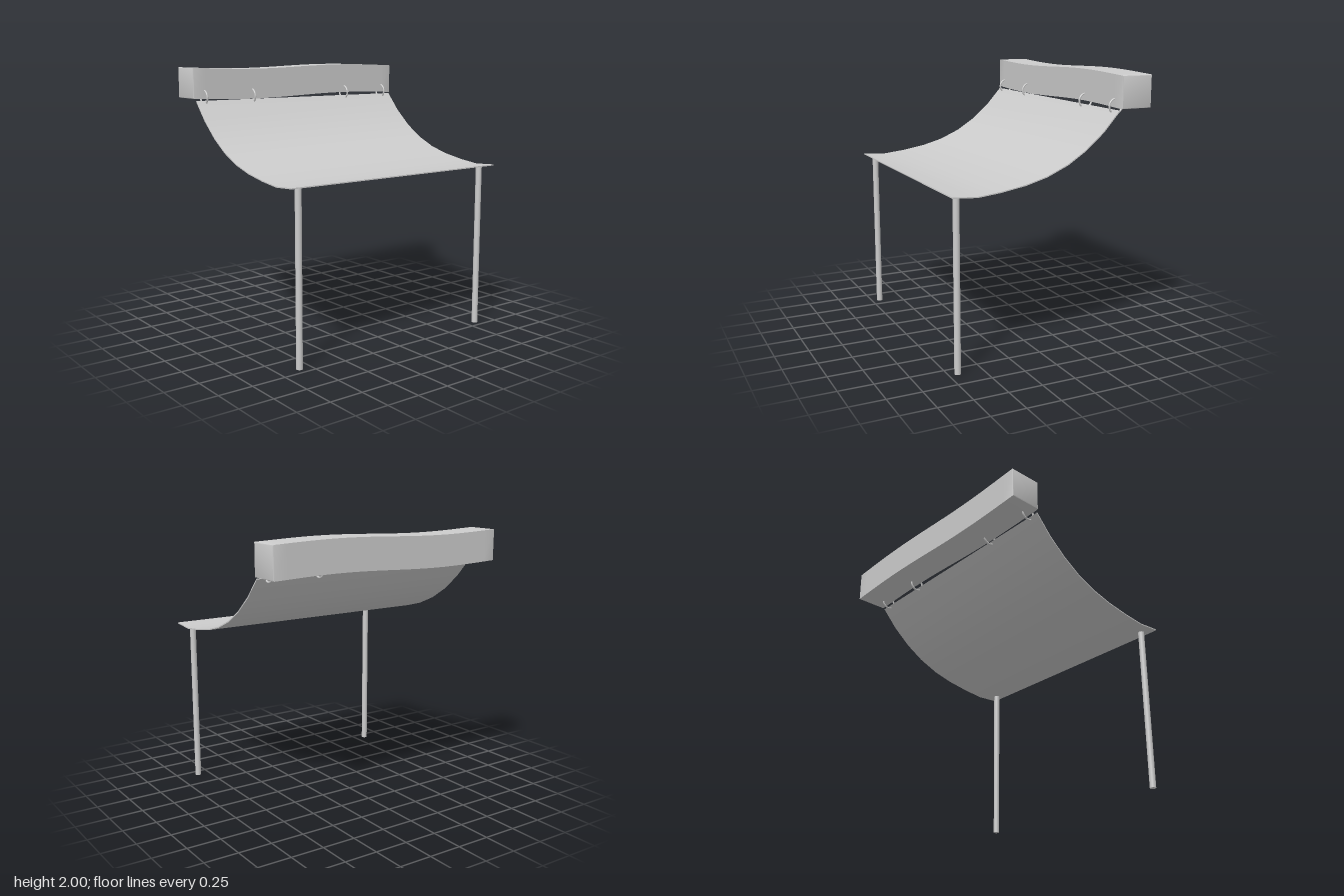
import * as THREE from 'three';
import { toCreasedNormals } from 'three/addons/utils/BufferGeometryUtils.js';

const material = new THREE.MeshStandardMaterial({ color: 0xcccccc, side: THREE.DoubleSide });

function addMesh(parent, name, geometry, x = 0, y = 0, z = 0) {
  const mesh = new THREE.Mesh(geometry, material);
  mesh.name = name;
  mesh.position.set(x, y, z);
  parent.add(mesh);
  return mesh;
}

// Square beam with a small bevel, bent gently up and down along its length
function beamGeometry() {
  const bevel = 0.007, half = 0.12 - bevel, halfHeight = 0.115 - bevel, length = 1.906;
  const shape = new THREE.Shape([
    new THREE.Vector2(-half, -halfHeight), new THREE.Vector2(half, -halfHeight),
    new THREE.Vector2(half, halfHeight), new THREE.Vector2(-half, halfHeight),
  ]);
  const geometry = new THREE.ExtrudeGeometry(shape, {
    depth: length - 2 * bevel, steps: 20,
    bevelSize: bevel, bevelThickness: bevel, bevelSegments: 2,
  });
  geometry.translate(0, 0, bevel - length / 2);
  const p = geometry.attributes.position;
  for (let i = 0; i < p.count; i++) {
    const z = p.getZ(i);
    p.setY(i, p.getY(i) - 0.012 * Math.sin((z * Math.PI) / 0.88));
  }
  return toCreasedNormals(geometry, 0.5);
}

// Thin sagging sheet: a curved strip with thickness, swept along z
function canopyGeometry() {
  const line = [
    [-0.505, 1.745], [-0.38, 1.606], [-0.24, 1.488], [-0.1, 1.4], [0.06, 1.331],
    [0.22, 1.288], [0.4, 1.258], [0.57, 1.24], [0.75, 1.252],
  ].map(([x, y]) => new THREE.Vector2(x, y));
  const offset = (sign) => line.map((point, i) => {
    const tangent = line[Math.min(i + 1, line.length - 1)].clone()
      .sub(line[Math.max(i - 1, 0)]).normalize();
    return new THREE.Vector2(point.x - tangent.y * 0.004 * sign, point.y + tangent.x * 0.004 * sign);
  });
  const shape = new THREE.Shape([...offset(-1), ...offset(1).reverse()]);
  const geometry = new THREE.ExtrudeGeometry(shape, { depth: 1.87, bevelEnabled: false });
  geometry.translate(0, 0, -0.935);
  return toCreasedNormals(geometry, 0.6);
}

export function createModel() {
  const model = new THREE.Group();
  model.name = 'awning';

  addMesh(model, 'beam', beamGeometry(), -0.63, 1.875, 0);
  addMesh(model, 'canopy', canopyGeometry());

  // Rings tying the canopy to the beam
  const ringGeometry = new THREE.TorusGeometry(0.052, 0.007, 8, 28);
  for (const z of [0.86, 0.442, -0.456, -0.855]) {
    addMesh(model, 'ring', ringGeometry, -0.522, 1.77, z);
  }

  // Poles under the outer edge
  const poleGeometry = new THREE.CylinderGeometry(0.023, 0.023, 1.246, 20);
  for (const side of [1, -1]) {
    addMesh(model, 'pole', poleGeometry, 0.685, 0.623, side * 0.84);
  }

  return model;
}
